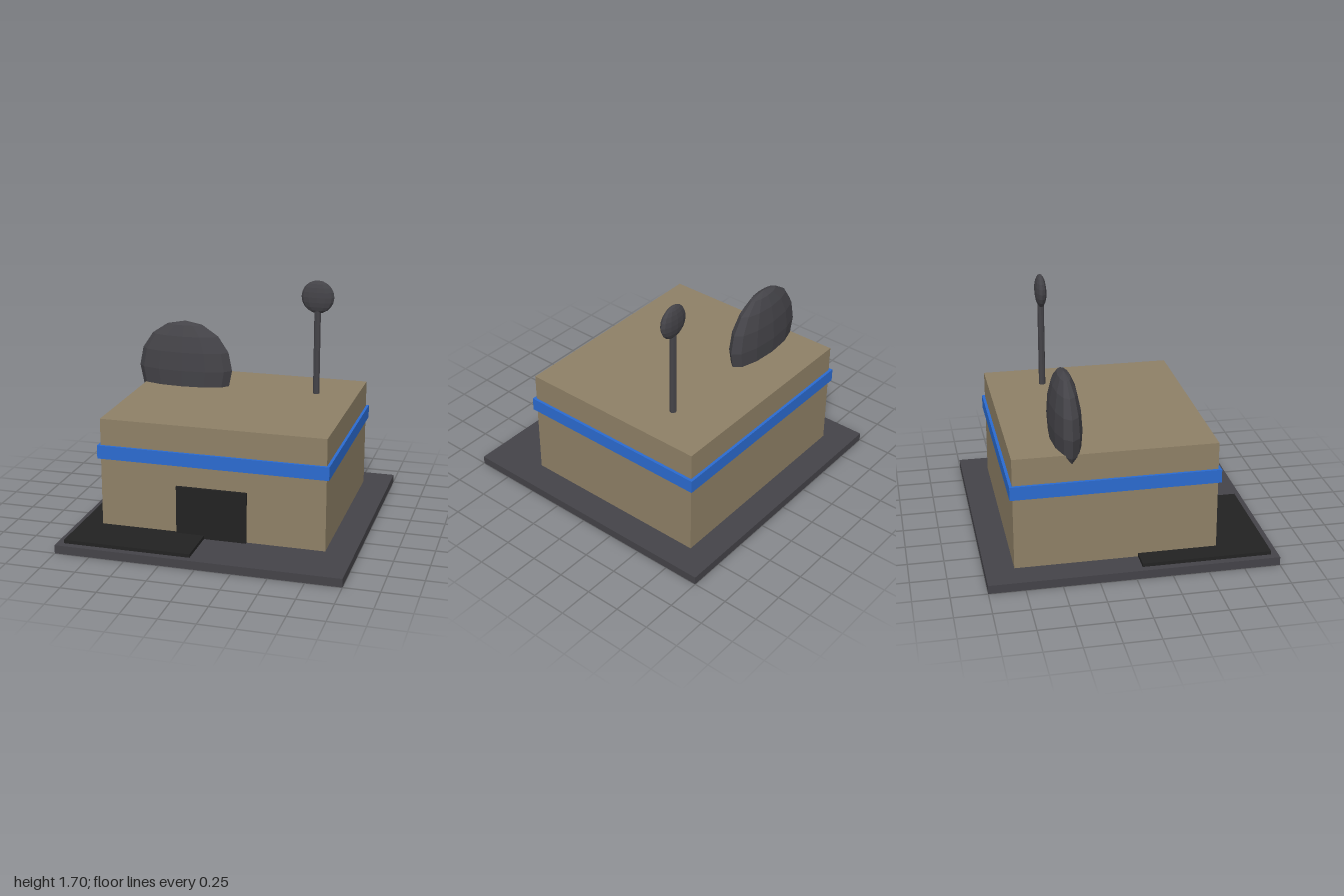
import * as THREE from 'three';

const material = (name, color) => {
  const m = new THREE.MeshStandardMaterial({ color, flatShading: true });
  m.name = name;
  return m;
};

export function createModel() {
  const darkGrey = material('dark grey', 0x444348);
  const tan = material('tan', 0x8e8066);
  const blue = material('blue', 0x2b6bd0);
  const black = material('near black', 0x222222);

  const model = new THREE.Group();
  model.name = 'building';

  const add = (name, geometry, mat, x, y, z) => {
    const mesh = new THREE.Mesh(geometry, mat);
    mesh.name = name;
    mesh.position.set(x, y, z);
    model.add(mesh);
    return mesh;
  };

  // Box given by its lowest and highest corners
  const box = (name, mat, [x0, y0, z0], [x1, y1, z1]) =>
    add(name, new THREE.BoxGeometry(x1 - x0, y1 - y0, z1 - z0), mat,
      (x0 + x1) / 2, (y0 + y1) / 2, (z0 + z1) / 2);

  // Ground slab, main block and stripe
  box('base', darkGrey, [-1, 0, -1], [1, 0.06, 1]);
  box('mainBlock', tan, [-0.8, 0.06, -0.8], [0.8, 0.86, 0.6]);
  box('stripeBand', blue, [-0.82, 0.575, -0.82], [0.82, 0.67, 0.62]);

  // Doorway and paved pad at the front corner
  box('door', black, [-0.25, 0.06, 0.59], [0.25, 0.425, 0.62]);
  box('pad', black, [-0.95, 0.05, 0.05], [-0.05, 0.085, 0.95]);

  // Flattened roof dishes
  const dish = (name, radius, rows, depth, x, y) =>
    add(name, new THREE.SphereGeometry(radius, 12, rows), darkGrey, x, y, -0.4)
      .scale.set(1, 1, depth);
  dish('largeDish', 0.36, 8, 0.3, -0.5, 0.98);
  dish('smallDish', 0.12, 10, 0.35, 0.5, 1.58);

  // Mast under the small dish
  add('mast', new THREE.CylinderGeometry(0.024, 0.024, 0.7, 8), darkGrey, 0.5, 1.21, -0.4);

  return model;
}
